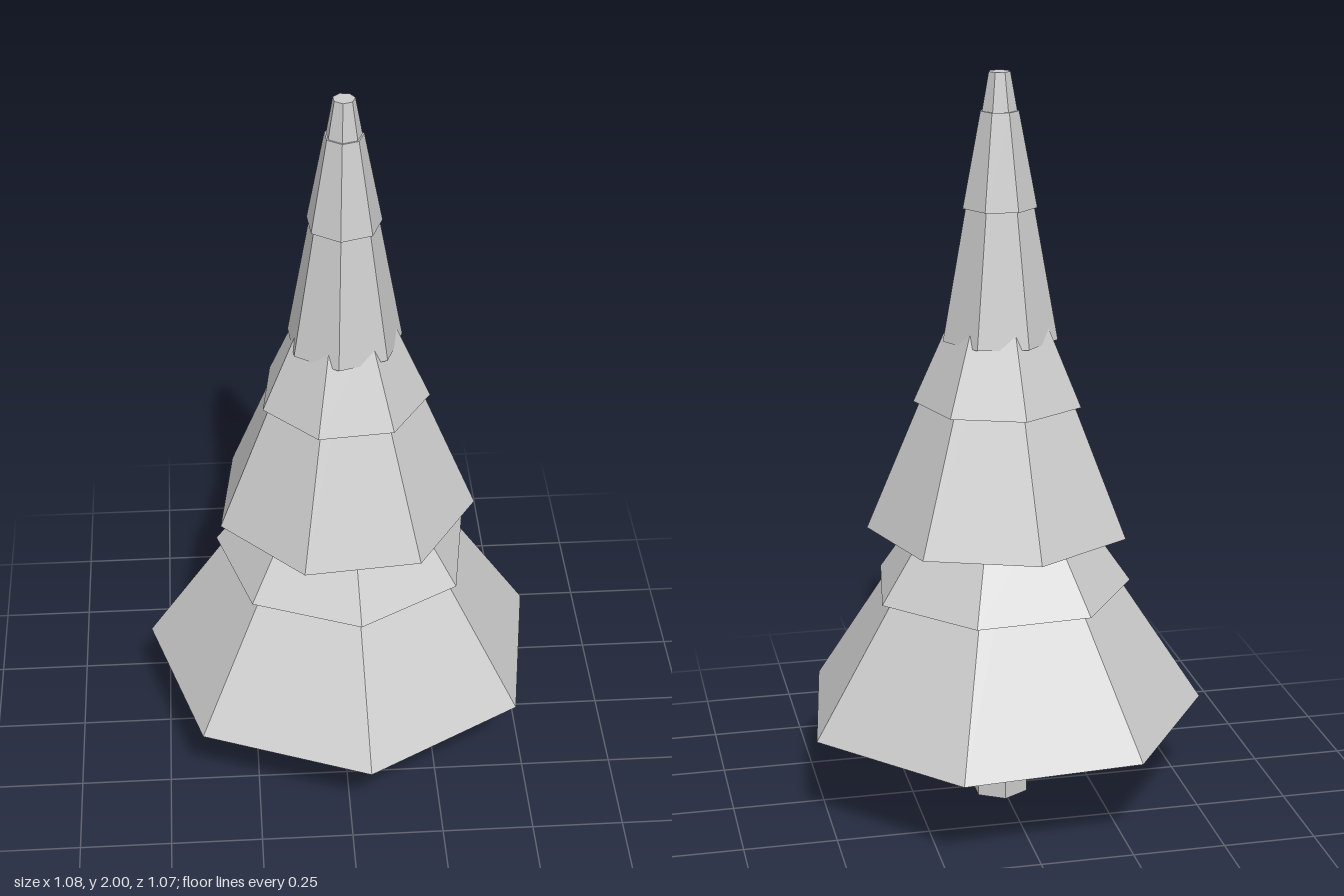
import * as THREE from 'three';

export function createModel() {
  const model = new THREE.Group();
  model.name = 'pineTree';
  const grey = new THREE.MeshStandardMaterial({ color: 0xcccccc, flatShading: true });
  grey.name = 'grey';

  // Closed tapered prism standing between two heights on the tree's axis
  const frustum = (name, y, height, bottom, top, sides, turn = 0) => {
    const geometry = new THREE.CylinderGeometry(top, bottom, height, sides, 1, false, turn);
    const mesh = new THREE.Mesh(geometry, grey);
    mesh.name = name;
    mesh.position.set(0.007, y + height / 2, -0.021);
    return mesh;
  };

  // Hexagonal trunk
  model.add(frustum('trunk', 0, 0.3, 0.079, 0.079, 6));

  // Three seven-sided tiers, each a tall skirt with a shorter collar halfway up
  const tiers = [
    { name: 'lowerTier', y: 0.26, radius: 0.557, turn: 0.073 },
    { name: 'middleTier', y: 0.78, radius: 0.358, turn: 0.546 },
    { name: 'upperTier', y: 1.3, radius: 0.155, turn: 0.755 },
  ];
  for (const { name, y, radius, turn } of tiers) {
    const tier = new THREE.Group();
    tier.name = name;
    tier.add(
      frustum('skirt', y, 0.7, radius, radius * 0.185, 7, turn),
      frustum('collar', y + 0.35, 0.25, radius * 0.641, radius * 0.33, 7, turn),
    );
    model.add(tier);
  }
  return model;
}
